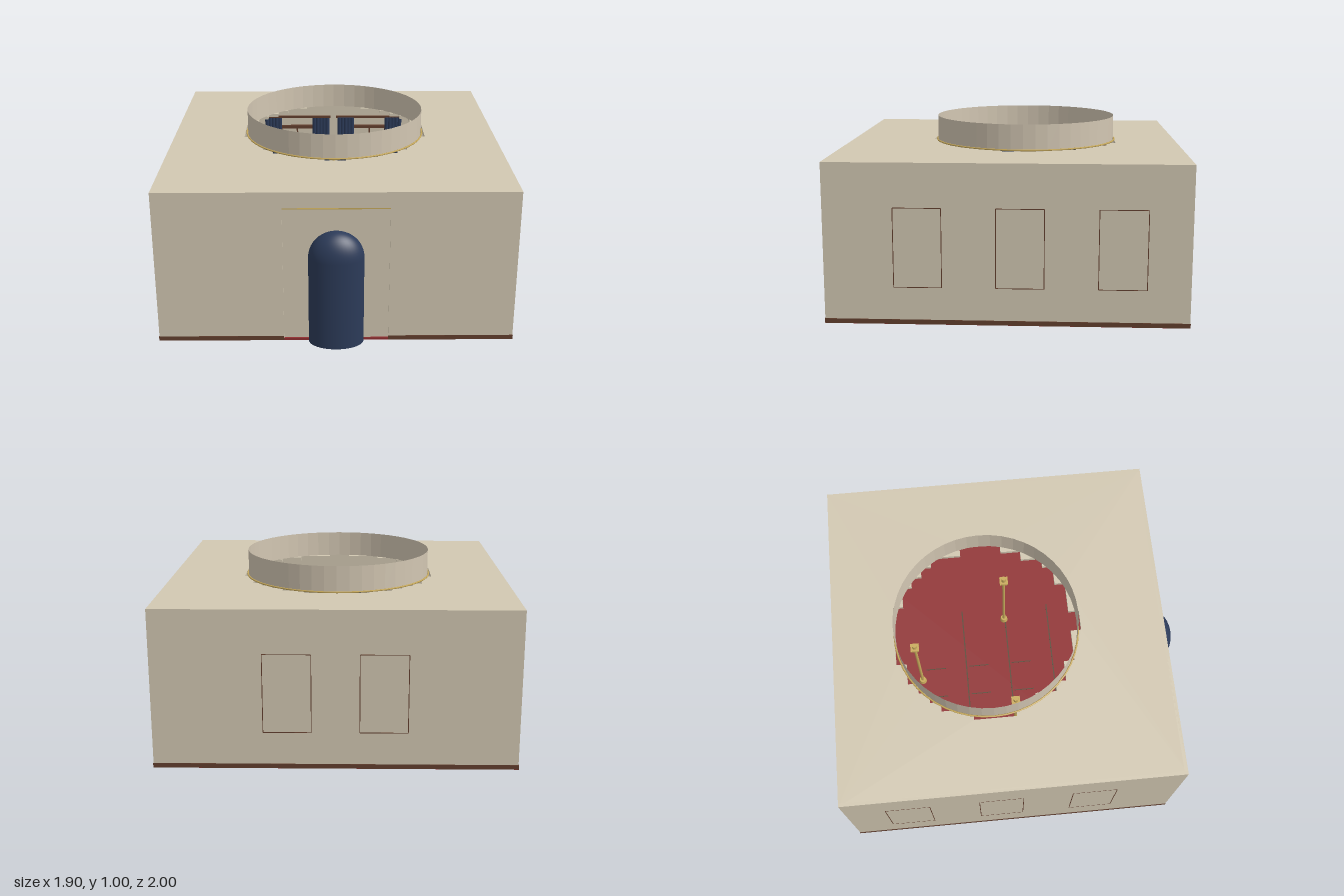
import * as THREE from 'three';

const mat = (name, color, side = THREE.FrontSide) => {
  const m = new THREE.MeshStandardMaterial({ color, side });
  m.name = name;
  return m;
};

export function createModel() {
  const model = new THREE.Group();
  model.name = 'domedRoom';
  const stone = mat('stone', 0xd2c8b2);
  const ringStone = mat('ring stone', 0xd2c6b2, THREE.DoubleSide);
  ringStone.flatShading = true;
  const red = mat('carpet red', 0x902f31);
  const brown = mat('wood brown', 0x633f2e);
  const navy = mat('navy', 0x2c3b59);
  const gold = mat('gold', 0xc9ab5c);
  const inlay = mat('inlay', 0x5c4a38);

  const add = (parent, name, geo, material, x = 0, y = 0, z = 0) => {
    const mesh = new THREE.Mesh(geo, material);
    mesh.name = name;
    mesh.position.set(x, y, z);
    parent.add(mesh);
    return mesh;
  };
  const box = (parent, name, material, w, h, d, x, y, z) =>
    add(parent, name, new THREE.BoxGeometry(w, h, d), material, x, y, z);

  // Floor and walls; the room spans x -0.95..0.95 and z -1..0.9
  const H = 0.855, T = 0.02, midZ = -0.05;
  box(model, 'floor', red, 1.9, 0.012, 1.9, 0, 0.006, midZ);
  const wallH = H - 0.004, wallY = 0.004 + wallH / 2;
  for (const s of [-1, 1]) {
    box(model, 'sideWall', stone, T, wallH, 1.9, s * 0.94, wallY, midZ);
    box(model, 'frontWall', stone, 0.67, wallH, T, s * 0.615, wallY, 0.89);
    box(model, 'sideSkirting', brown, 0.004, 0.025, 1.904, s * 0.95, 0.0135, midZ);
    box(model, 'frontSkirting', brown, 0.67, 0.025, 0.004, s * 0.615, 0.0135, 0.9);
  }
  box(model, 'backWall', stone, 1.9, wallH, T, 0, wallY, -0.99);
  box(model, 'backSkirting', brown, 1.9, 0.025, 0.004, 0, 0.0135, -1);

  // Slightly recessed doorway panel with a fine gold line above
  box(model, 'lintel', stone, 0.56, H - 0.765, T, 0, (H + 0.765) / 2, 0.89);
  box(model, 'doorPanel', stone, 0.56, 0.761, 0.012, 0, 0.3845, 0.884);
  box(model, 'doorTrim', gold, 0.56, 0.006, 0.004, 0, 0.766, 0.9);

  // Round-headed door bulging from the front
  const r = 0.147, profile = [new THREE.Vector2(0, 0), new THREE.Vector2(r, 0), new THREE.Vector2(r, 0)];
  for (let i = 0; i <= 14; i++) {
    const a = (i / 14) * Math.PI / 2;
    profile.push(new THREE.Vector2(Math.max(0, r * Math.cos(a)), 0.493 + r * Math.sin(a)));
  }
  add(model, 'archedDoor', new THREE.LatheGeometry(profile, 40), navy, 0, 0, 0.9).scale.z = 0.68;

  // Roof with a stepped round opening: [half width, z where the row ends]
  const rows = [[0.175, -0.587], [0.295, -0.53], [0.355, -0.47], [0.415, -0.41], [0.47, -0.233],
    [0.535, 0.005], [0.47, 0.12], [0.412, 0.24], [0.355, 0.3], [0.24, 0.36], [0.06, 0.42]];
  const roof = new THREE.Shape([[-0.95, -0.9], [0.95, -0.9], [0.95, 1], [-0.95, 1]]
    .map(([x, y]) => new THREE.Vector2(x, y)));
  const half = [];
  let z0 = -0.645;
  for (const [w, z1] of rows) {
    half.push([w, -z0], [w, -z1]);
    z0 = z1;
  }
  const outline = [...half, ...half.slice().reverse().map(([w, y]) => [-w, y])];
  roof.holes.push(new THREE.Path(outline.map(([x, y]) => new THREE.Vector2(x, y))));
  const roofGeo = new THREE.ExtrudeGeometry(roof, { depth: T, bevelEnabled: false });
  roofGeo.rotateX(-Math.PI / 2);
  add(model, 'roof', roofGeo, stone, 0, H - T, 0);

  // Open drum over the roof opening and its gold foot
  add(model, 'drum', new THREE.CylinderGeometry(0.52, 0.52, 0.145, 48, 1, true), ringStone, 0, 0.9275, -0.12);
  const foot = add(model, 'drumFoot', new THREE.TorusGeometry(0.526, 0.005, 6, 48), gold, 0, 0.859, -0.12);
  foot.rotation.x = Math.PI / 2;

  // Window facing +z: frame, glazing bars, curtains, and an outline on the outer wall
  const W = 0.25, WH = 0.42;
  const addWindow = (x, z, turn) => {
    const g = new THREE.Group();
    g.name = 'window';
    g.position.set(x, 0.41, z);
    g.rotation.y = turn;
    for (const s of [-1, 1]) {
      box(g, 'frameSide', brown, 0.02, WH, 0.02, s * (W / 2 - 0.01), 0, 0.03);
      box(g, 'frameRail', brown, W, 0.02, 0.02, 0, s * (WH / 2 - 0.01), 0.03);
      box(g, 'crossBar', brown, W, 0.01, 0.012, 0, s * 0.07, 0.026);
      box(g, 'outerLine', brown, 0.004, WH, 0.002, s * W / 2, 0, 0);
      box(g, 'outerRail', brown, W, 0.004, 0.002, 0, s * WH / 2, 0);
      for (let i = 0; i < 5; i++) {
        add(g, 'curtainFold', new THREE.CylinderGeometry(0.014, 0.014, 0.54, 8), navy,
          s * (0.12 + i * 0.022), 0, 0.045);
      }
    }
    box(g, 'middleBar', brown, 0.01, WH, 0.012, 0, 0, 0.026);
    box(g, 'curtainRod', brown, 0.46, 0.014, 0.014, 0, 0.275, 0.045);
    model.add(g);
  };
  for (const s of [-1, 1]) {
    addWindow(s * 0.25, -1, 0);
    for (const z of [-0.65, -0.12, 0.41]) addWindow(s * 0.95, z, -s * Math.PI / 2);
  }

  // Fine inlaid lines in the floor
  for (const z of [-0.26, 0.022, 0.305]) {
    box(model, 'floorLine', inlay, 0.92, 0.002, 0.008, 0, 0.0125, z);
  }
  for (const z of [-0.46, -0.18, 0.1]) {
    for (const x of [-0.45, -0.31, -0.26, -0.12, 0.07]) {
      box(model, 'floorJoint', inlay, 0.006, 0.002, 0.13, x, 0.0125, z);
    }
  }

  // Slender posts with cross-shaped heads
  for (const [x, z] of [[0, -0.55], [-0.38, 0.015], [0.38, 0.015], [0, 0.5]]) {
    const post = new THREE.Group();
    post.name = 'post';
    post.position.set(x, 0, z);
    add(post, 'postBase', new THREE.CylinderGeometry(0.02, 0.025, 0.03, 12), gold, 0, 0.027, 0);
    add(post, 'postShaft', new THREE.CylinderGeometry(0.009, 0.009, 0.62, 10), gold, 0, 0.322, 0);
    box(post, 'postHead', gold, 0.05, 0.015, 0.05, 0, 0.635, 0);
    add(post, 'postFinial', new THREE.CylinderGeometry(0.014, 0.014, 0.04, 10), gold, 0, 0.655, 0);
    model.add(post);
  }
  return model;
}
